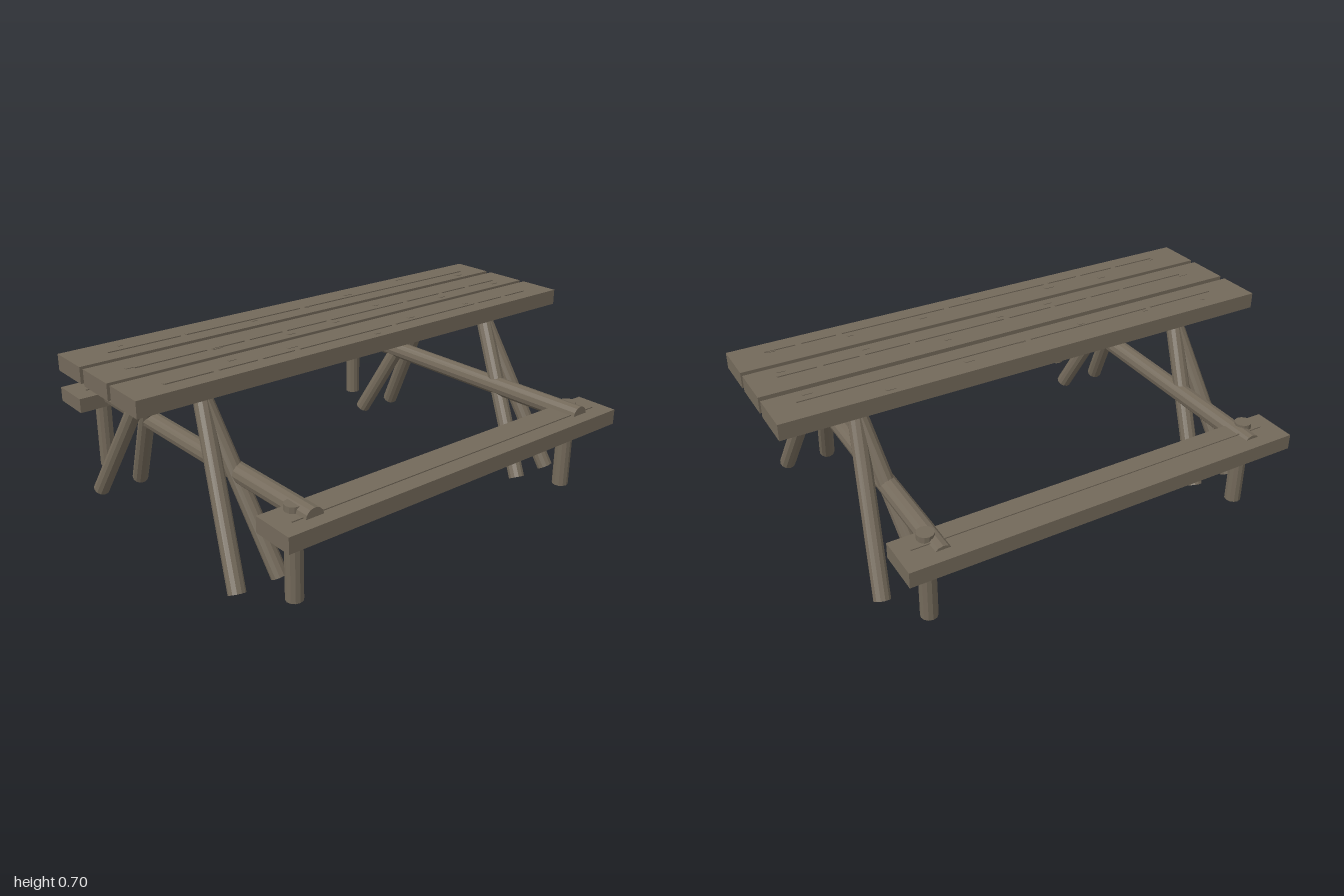
import * as THREE from 'three';

export function createModel() {
  const group = new THREE.Group();
  const wood = new THREE.MeshStandardMaterial({ color: 0x73695a, flatShading: true });
  wood.name = 'weathered wood';

  const box = (name, w, h, d, x, y, z) => {
    const mesh = new THREE.Mesh(new THREE.BoxGeometry(w, h, d), wood);
    mesh.name = name;
    mesh.position.set(x, y, z);
    group.add(mesh);
  };

  // Round pole running between two points
  const up = new THREE.Vector3(0, 1, 0);
  const pole = (name, from, to, radius) => {
    const a = new THREE.Vector3(...from), b = new THREE.Vector3(...to);
    const dir = b.clone().sub(a);
    const mesh = new THREE.Mesh(new THREE.CylinderGeometry(radius, radius, dir.length(), 12), wood);
    mesh.name = name;
    mesh.position.copy(a).add(b).multiplyScalar(0.5);
    mesh.quaternion.setFromUnitVectors(up, dir.normalize());
    group.add(mesh);
  };

  // Fine raised grain line, broken at the given x positions
  const grain = (name, breaks, y, z) => {
    for (let i = 0; i < breaks.length - 1; i++) {
      const a = breaks[i] + 0.012, b = breaks[i + 1] - 0.012;
      box(name, b - a, 0.004, 0.006, (a + b) / 2, y + 0.002, z);
    }
  };

  // Table top: three planks with grain
  for (const z of [-0.197, 0, 0.194]) box('topPlank', 2, 0.062, 0.171, 0, 0.671, z);
  grain('topGrain', [-0.87, -0.55, 0, 0.91], 0.702, -0.18);
  grain('topGrain', [-0.87, -0.56, -0.4, -0.23, -0.02, 0.38, 0.58, 0.74, 0.91], 0.702, 0.015);
  grain('topGrain', [-0.87, -0.66, -0.48, -0.32, 0.14, 0.59, 0.75, 0.89], 0.702, 0.212);

  // Small splinters along the planks
  let seed = 7;
  const rand = () => (seed = (seed * 16807) % 2147483647) / 2147483647;
  for (const z of [-0.197, 0, 0.194]) {
    for (let i = 0; i < 7; i++) {
      box('splinter', 0.015 + rand() * 0.03, 0.002, 0.012,
        -0.88 + i * 0.28 + rand() * 0.1, 0.703, z + (rand() - 0.5) * 0.13);
    }
  }

  // Benches
  for (const s of [-1, 1]) box('benchSeat', 1.58, 0.06, 0.172, 0, 0.34, s * 0.701);
  grain('benchGrain', [-0.74, 0.75], 0.37, -0.688);
  grain('benchGrain', [-0.74, 0.75], 0.37, 0.718);

  // Two end frames: cross beam, bench posts and splayed leg pairs
  for (const x of [-0.695, 0.69]) {
    const inward = x < 0 ? 1 : -1;
    pole('crossBeam', [x + inward * 0.046, 0.347, -0.735], [x + inward * 0.046, 0.366, 0.735], 0.037);
    for (const s of [-1, 1]) {
      pole('benchPost', [x + inward * 0.022, 0.038, s * 0.653], [x + inward * 0.022, 0.393, s * 0.653], 0.032);
      for (const splay of [-0.095, 0.081]) {
        pole('splayedLeg', [x + splay, 0.021, s * 0.489], [x, 0.623, s * 0.163], 0.032);
      }
    }
  }
  return group;
}
